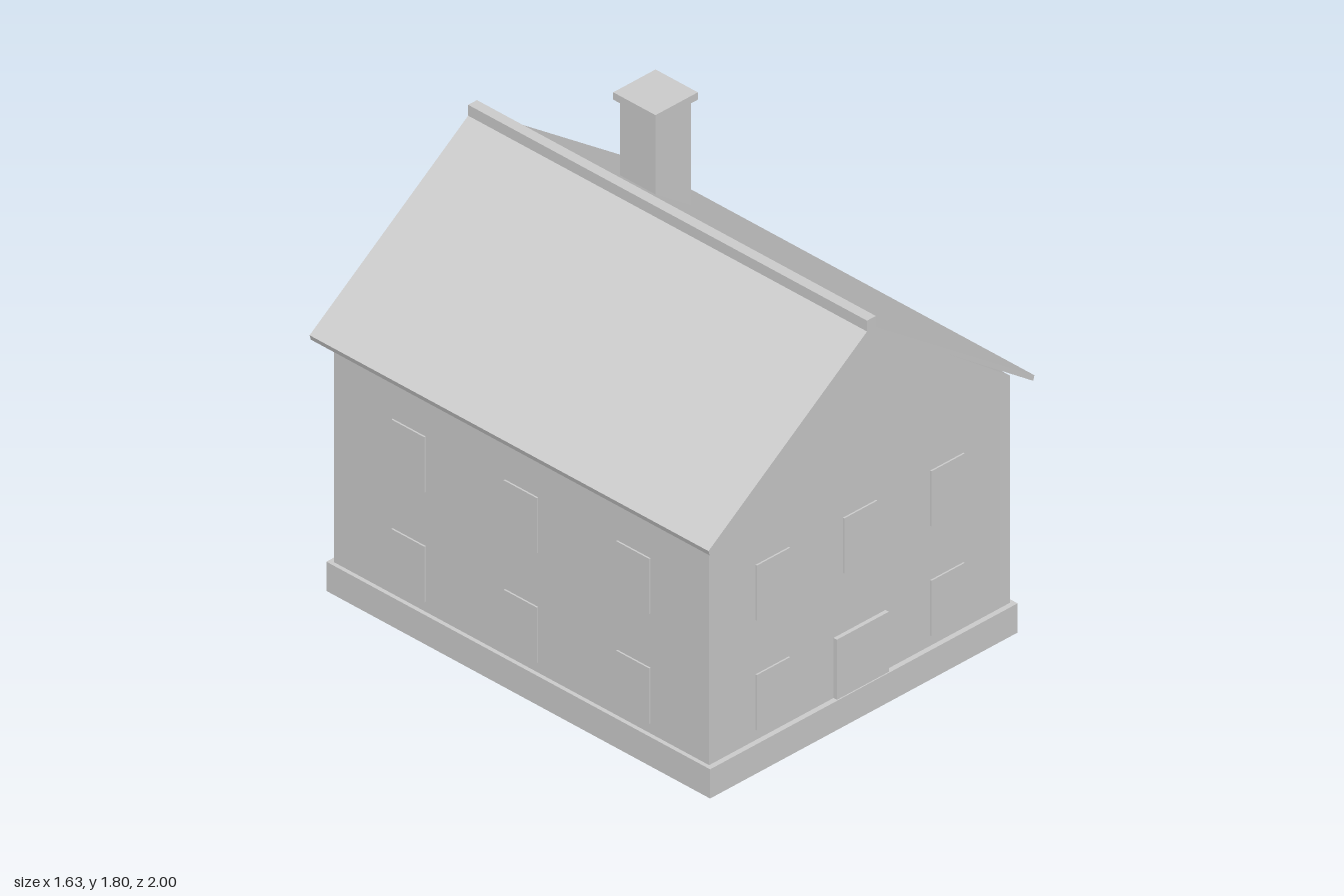
import * as THREE from 'three';

const grey = new THREE.MeshStandardMaterial({ color: 0xcccccc });
grey.name = 'plain grey';

export function createModel() {
  const house = new THREE.Group();
  house.name = 'house';

  const add = (name, geometry) => {
    const mesh = new THREE.Mesh(geometry, grey);
    mesh.name = name;
    house.add(mesh);
    return mesh;
  };
  // Box given by its limits on each axis
  const box = (name, x0, x1, y0, y1, z0, z1) => {
    const mesh = add(name, new THREE.BoxGeometry(x1 - x0, y1 - y0, z1 - z0));
    mesh.position.set((x0 + x1) / 2, (y0 + y1) / 2, (z0 + z1) / 2);
  };
  // Outline in x, y drawn out along z, centred on z = 0
  const prism = (name, points, depth) => {
    const shape = new THREE.Shape(points.map(([x, y]) => new THREE.Vector2(x, y)));
    const geometry = new THREE.ExtrudeGeometry(shape, { depth, bevelEnabled: false });
    add(name, geometry.translate(0, 0, -depth / 2));
  };

  const wallX = 0.753, wallZ = 0.94, plinthTop = 0.123;

  // Plinth and gabled walls
  box('plinth', -0.77, 0.77, 0, plinthTop, -0.962, 0.962);
  prism('walls', [
    [-wallX, plinthTop], [wallX, plinthTop], [wallX, 1.08], [0, 1.642], [-wallX, 1.08],
  ], wallZ * 2);

  // Thin roof slopes and ridge beam
  for (const s of [-1, 1]) {
    prism(s > 0 ? 'leftRoofSlope' : 'rightRoofSlope', [
      [0, 1.641], [s * 0.81, 1.059], [s * 0.816, 1.08], [0, 1.66],
    ], 2);
  }
  box('ridge', -0.022, 0.022, 1.642, 1.69, -1, 1);

  // Chimney with cap
  box('chimney', 0.3, 0.476, 1.2, 1.766, -0.56, -0.382);
  box('chimneyCap', 0.282, 0.494, 1.766, 1.797, -0.577, -0.365);

  // Windows and doors, the same on opposite sides
  const half = 0.083, raise = 0.007;
  for (const s of [-1, 1]) {
    const zs = [s * (wallZ - 0.01), s * (wallZ + raise)].sort((a, b) => a - b);
    const xs = [s * (wallX - 0.01), s * (wallX + raise)].sort((a, b) => a - b);
    for (const [y0, y1] of [[0.166, 0.4], [0.628, 0.861]]) {
      for (const i of [-1, 0, 1]) {
        const cx = i * 0.437, cz = i * 0.563;
        if (i !== 0 || y0 > 0.5) {
          box(s > 0 ? 'frontWindow' : 'backWindow', cx - half, cx + half, y0, y1, ...zs);
        }
        box(s > 0 ? 'leftWindow' : 'rightWindow', ...xs, y0, y1, cz - half, cz + half);
      }
    }
    const doorZ = [s * (wallZ - 0.01), s * 0.957].sort((a, b) => a - b);
    box(s > 0 ? 'frontDoor' : 'backDoor', -0.13, 0.13, plinthTop, 0.376, ...doorZ);
  }

  return house;
}
